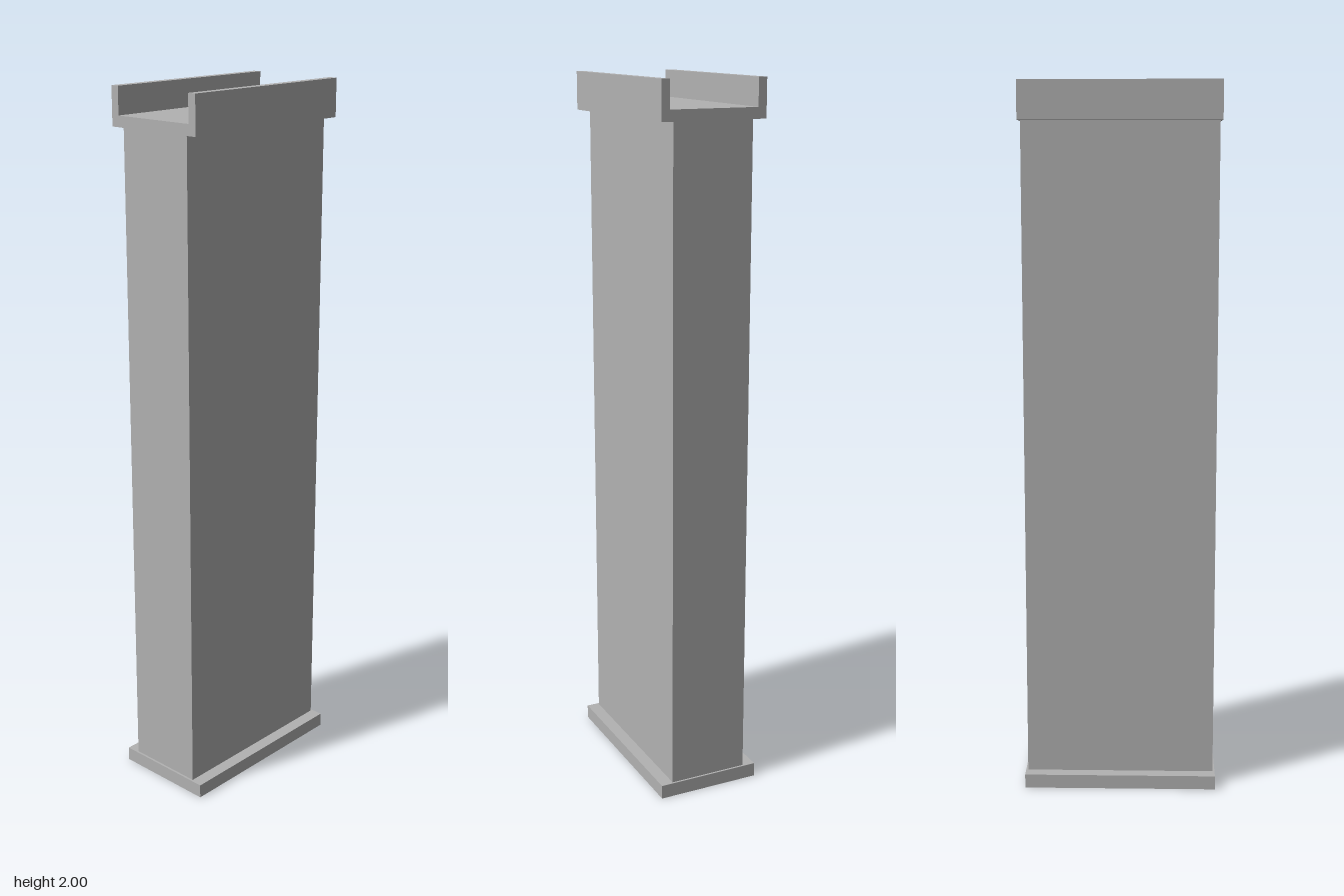
import * as THREE from 'three';

export function createModel() {
  const model = new THREE.Group();
  const concrete = new THREE.MeshStandardMaterial({ color: 0xb2b2b2 });
  concrete.name = 'concrete grey';

  // Box given by its width, depth, bottom and top heights, and z centre
  const block = (name, width, depth, bottom, top, z = 0) => {
    const mesh = new THREE.Mesh(new THREE.BoxGeometry(width, top - bottom, depth), concrete);
    mesh.name = name;
    mesh.position.set(0, (bottom + top) / 2, z);
    model.add(mesh);
  };

  // Foot slab, tall shaft and cap slab
  block('basePlate', 0.55, 0.3, 0, 0.04);
  block('shaft', 0.538, 0.228, 0.04, 1.895);
  block('capPlate', 0.55, 0.3, 1.895, 1.925);

  // Upright rails along the front and back of the cap
  for (const side of [1, -1]) {
    block(side > 0 ? 'frontRail' : 'backRail', 0.55, 0.024, 1.925, 2, side * 0.138);
  }
  return model;
}
